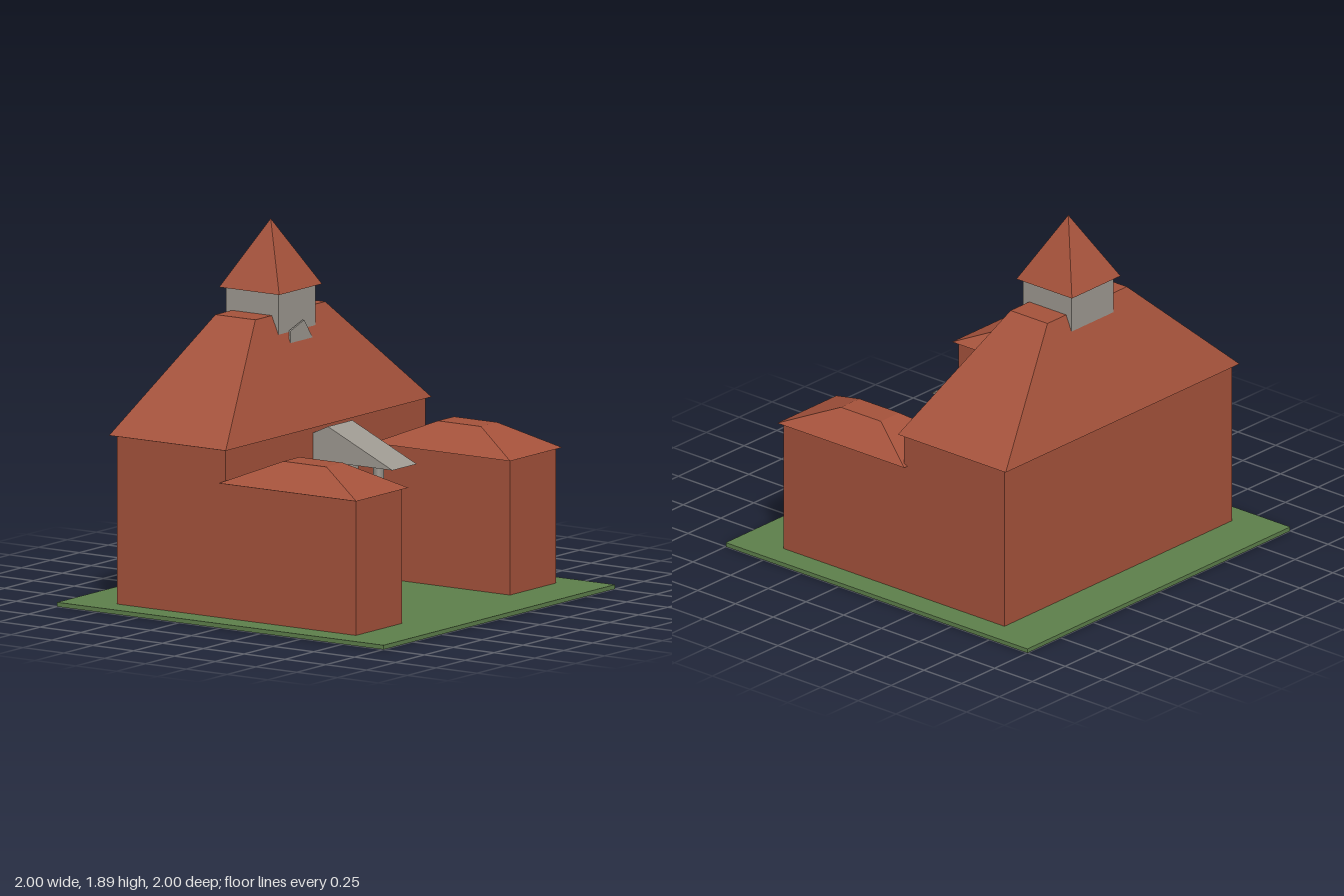
import * as THREE from 'three';
import { ConvexGeometry } from 'three/addons/geometries/ConvexGeometry.js';

export function createModel() {
  const group = new THREE.Group();
  const material = (name, color) => {
    const m = new THREE.MeshStandardMaterial({ color });
    m.name = name;
    return m;
  };
  const brick = material('brick red', 0xa5523b);
  const stone = material('stone grey', 0x9e9991);
  const grass = material('grass green', 0x5d7f4b);

  const add = (name, geometry, mat) => {
    const mesh = new THREE.Mesh(geometry, mat);
    mesh.name = name;
    group.add(mesh);
    return mesh;
  };
  // Box given by its limits on each axis
  const block = (name, mat, [x0, x1], [y0, y1], [z0, z1]) =>
    add(name, new THREE.BoxGeometry(x1 - x0, y1 - y0, z1 - z0), mat)
      .position.set((x0 + x1) / 2, (y0 + y1) / 2, (z0 + z1) / 2);
  // Solid tapering from a rectangle at y0 to a rectangle, line or point at y1
  const taper = (name, mat, y0, y1, bottomX, bottomZ, topX, topZ) => {
    const points = [];
    for (const [y, xs, zs] of [[y0, bottomX, bottomZ], [y1, topX, topZ]])
      for (const x of new Set(xs))
        for (const z of new Set(zs)) points.push(new THREE.Vector3(x, y, z));
    add(name, new ConvexGeometry(points), mat);
  };

  block('lawn', grass, [-1, 1], [0, 0.022], [-1, 1]);

  // Main hall
  block('mainHall', brick, [-0.865, 0.865], [0.022, 0.88], [-0.73, -0.065]);
  taper('mainRoof', brick, 0.88, 1.43, [-0.89, 0.89], [-0.76, -0.045], [-0.302, 0.302], [-0.525, -0.28]);

  // Projecting wings
  for (const [side, s] of [['left', 1], ['right', -1]]) {
    const span = (a, b) => (s > 0 ? [a, b] : [-b, -a]);
    block(side + 'Wing', brick, span(0.467, 0.865), [0.022, 0.71], [-0.07, 0.735]);
    taper(side + 'WingRoof', brick, 0.71, 0.83, span(0.44, 0.89), [-0.088, 0.755], span(0.598, 0.738), [0.2, 0.465]);
  }

  // Bell tower
  block('tower', stone, [-0.16, 0.16], [1.25, 1.545], [-0.56, -0.24]);
  taper('towerRoof', brick, 1.545, 1.886, [-0.185, 0.185], [-0.585, -0.217], [0], [-0.4]);

  // Five-sided clock plate, half sunk in the roof
  const clock = add('clockPlate', new THREE.CylinderGeometry(0.107, 0.107, 0.01, 5), stone);
  clock.geometry.rotateY(Math.PI / 2).rotateX(Math.PI / 2);
  clock.position.set(0, 1.283, -0.223);

  // Entrance
  block('door', stone, [-0.08, 0.08], [0.022, 0.315], [-0.07, -0.055]);
  taper('porchRoof', stone, 0.71, 0.89, [-0.105, 0.105], [-0.37, 0.42], [-0.105, 0.105], [0.025]);
  for (const x of [-0.333, -0.111, 0.111, 0.333]) {
    const column = add('column', new THREE.CylinderGeometry(0.028, 0.034, 0.688, 5), stone);
    column.geometry.rotateY(Math.PI / 2);
    column.position.set(x, 0.366, 0.025);
  }

  return group;
}
